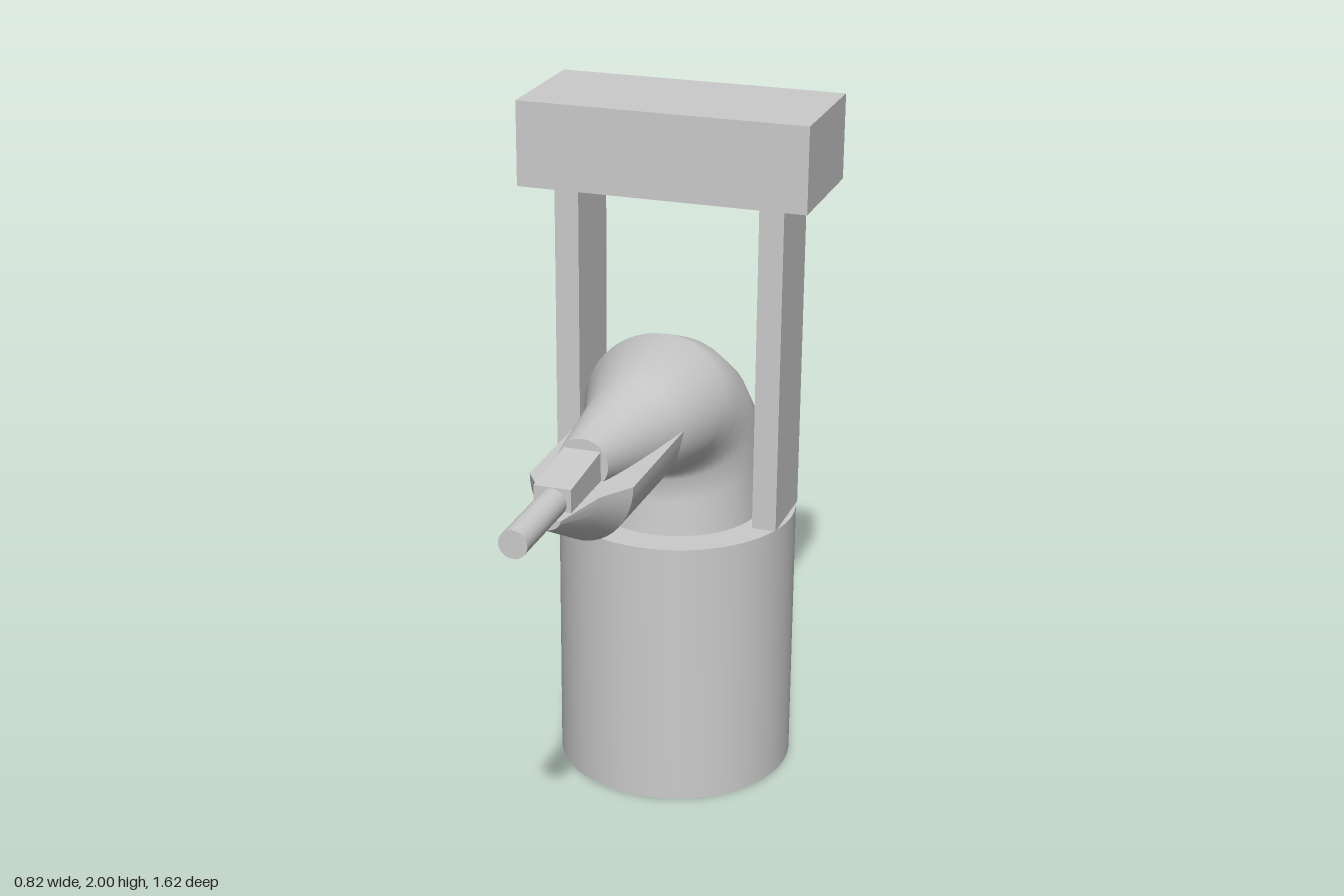
import * as THREE from 'three';
import { toCreasedNormals } from 'three/addons/utils/BufferGeometryUtils.js';

const grey = new THREE.MeshStandardMaterial({ color: 0xcccccc });
const greyDouble = new THREE.MeshStandardMaterial({ color: 0xcccccc, side: THREE.DoubleSide });
const AXIS_Z = -0.46;

// Skin closed rings of [x, y, z] points, counterclockwise about the direction of travel.
function loft(rings, crease, capStart = true, capEnd = true) {
  const n = rings[0].length;
  const positions = rings.flat(2);
  const index = [];
  for (let i = 0; i < rings.length - 1; i++) {
    for (let j = 0; j < n; j++) {
      const a = i * n + j, b = i * n + (j + 1) % n;
      index.push(a, b, b + n, a, b + n, a + n);
    }
  }
  const last = (rings.length - 1) * n;
  for (let j = 1; j < n - 1; j++) {
    if (capStart) index.push(0, j + 1, j);
    if (capEnd) index.push(last, last + j, last + j + 1);
  }
  const geometry = new THREE.BufferGeometry();
  geometry.setAttribute('position', new THREE.Float32BufferAttribute(positions, 3));
  geometry.setIndex(index);
  return toCreasedNormals(geometry, crease);
}

// Ellipse spanning an outer and an inner point of the side profile, with half width w.
function ellipse([outerY, outerZ, innerY, innerZ, w], n = 48) {
  return Array.from({ length: n }, (_, j) => {
    const t = (j / n) * Math.PI * 2;
    const s = Math.sin(t) / 2;
    return [
      w * Math.cos(t),
      (outerY + innerY) / 2 + s * (outerY - innerY),
      (outerZ + innerZ) / 2 + s * (outerZ - innerZ),
    ];
  });
}

export function createModel() {
  const model = new THREE.Group();
  const add = (name, geometry, x = 0, y = 0, z = 0, material = grey) => {
    const mesh = new THREE.Mesh(geometry, material);
    mesh.name = name;
    mesh.position.set(x, y, z);
    model.add(mesh);
    return mesh;
  };

  // Hollow base with a stepped bore
  const baseProfile = [
    [0.24, 0.8], [0.24, 0.09], [0.305, 0.09], [0.305, 0],
    [0.345, 0], [0.345, 0.8], [0.24, 0.8],
  ].map(([r, y]) => new THREE.Vector2(r, y));
  add('base', toCreasedNormals(new THREE.LatheGeometry(baseProfile, 64), 0.6), 0, 0, AXIS_Z);

  // Bent neck flowing into the tapered arm: outer y, z, inner y, z, half width
  const neckSections = [
    [0.8, -0.71, 0.8, -0.21, 0.247],
    [1.0, -0.685, 0.9, -0.22, 0.235],
    [1.14, -0.655, 0.965, -0.225, 0.23],
    [1.235, -0.57, 0.985, -0.212, 0.225],
    [1.315, -0.45, 1.0, -0.193, 0.217],
    [1.365, -0.32, 1.01, -0.17, 0.205],
    [1.31, -0.07, 1.02, -0.07, 0.146],
    [1.3, 0.33, 1.16, 0.33, 0.07],
  ];
  add('neckAndArm', loft(neckSections.map((s) => ellipse(s)), 0.9, false, true), 0, 0, 0, greyDouble);

  // Flat-topped trough under the arm: z, half width, bottom y
  const troughTop = 1.19;
  const troughRings = [
    [-0.17, 0.145, 1.01], [0.34, 0.142, 1.02], [0.43, 0.083, 1.068], [0.6, 0.042, 1.16],
  ].map(([z, w, bottom]) => Array.from({ length: 25 }, (_, j) => {
    const t = Math.PI * (1 + j / 24);
    return [w * Math.cos(t), troughTop + (troughTop - bottom) * Math.sin(t), z];
  }));
  add('trough', loft(troughRings, 0.5));

  // Wedge block in front of the arm: z, top y
  const blockRings = [[0.3, 1.273], [0.545, 1.253]].map(([z, top]) => [
    [-0.05, 1.18, z], [0.05, 1.18, z], [0.05, top, z], [-0.05, top, z],
  ]);
  add('nozzleBlock', loft(blockRings, 0.3));

  // Tip rod
  const rod = new THREE.CylinderGeometry(0.038, 0.038, 0.31, 32).rotateX(Math.PI / 2);
  add('nozzleTip', rod, 0, 1.212, 0.655);

  // Twin posts carrying the top block
  for (const [name, side] of [['leftPost', 1], ['rightPost', -1]]) {
    add(name, new THREE.BoxGeometry(0.07, 0.96, 0.227), side * 0.295, 1.28, AXIS_Z);
  }
  add('topBlock', new THREE.BoxGeometry(0.825, 0.24, 0.37), 0, 1.88, AXIS_Z);

  return model;
}
